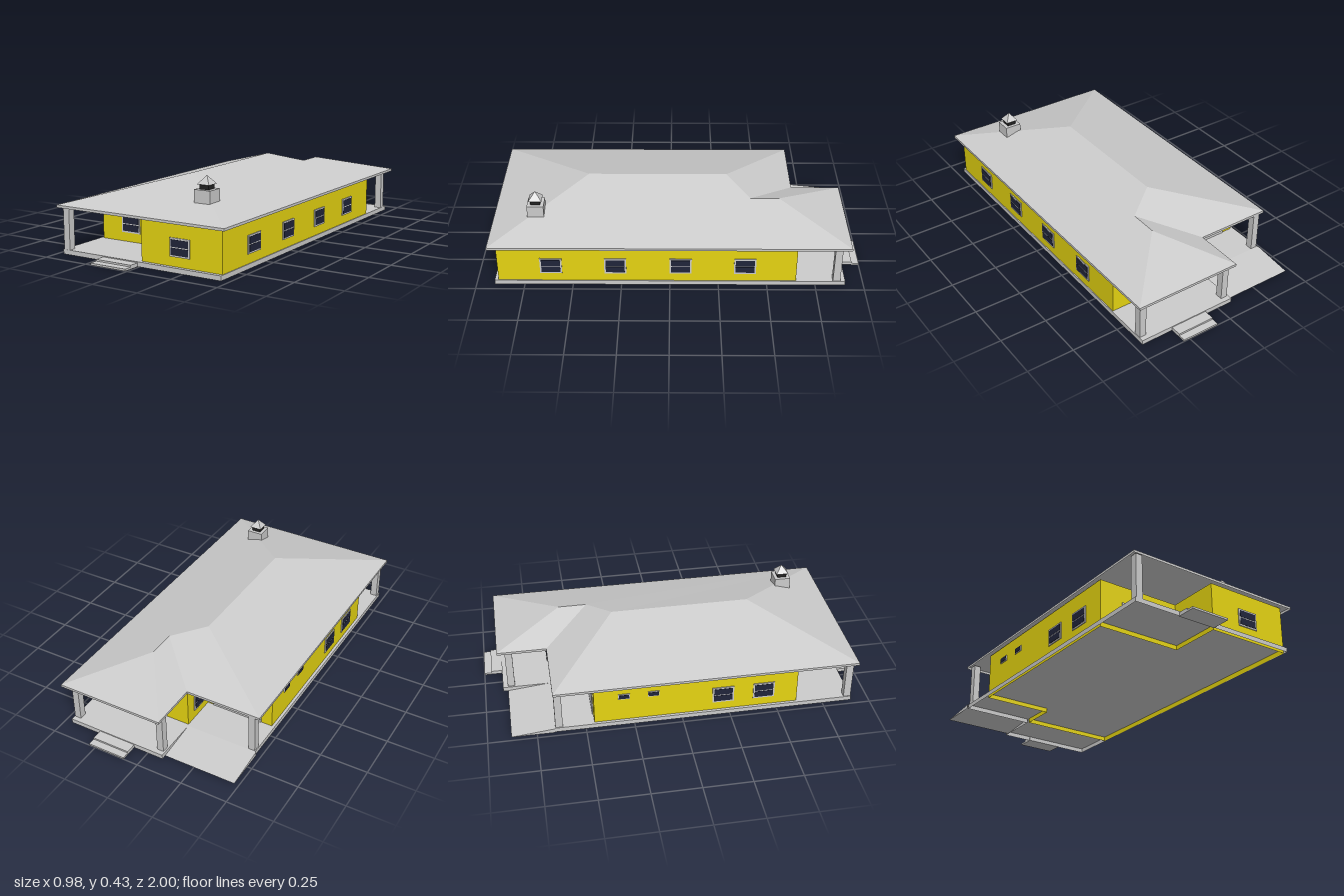
import * as THREE from 'three';

const material = (color, extra = {}) => new THREE.MeshStandardMaterial({ color, flatShading: true, ...extra });
const grey = material(0xcccccc);
const greyThin = material(0xcccccc, { side: THREE.DoubleSide });
const yellowThin = material(0xe5d411, { side: THREE.DoubleSide });
const glass = material(0x20243a);
const black = material(0x222222);

function add(parent, name, geometry, mat, x = 0, y = 0, z = 0) {
  const mesh = new THREE.Mesh(geometry, mat);
  mesh.name = name;
  mesh.position.set(x, y, z);
  parent.add(mesh);
  return mesh;
}

// Box given by its limits on each axis
function box(parent, name, mat, x0, x1, y0, y1, z0, z1) {
  const g = new THREE.BoxGeometry(x1 - x0, y1 - y0, z1 - z0);
  return add(parent, name, g, mat, (x0 + x1) / 2, (y0 + y1) / 2, (z0 + z1) / 2);
}

// Flat polygons, each a convex loop of [x, y, z] corners
function polygons(loops) {
  const p = [];
  for (const loop of loops) {
    for (let i = 1; i < loop.length - 1; i++) p.push(...loop[0], ...loop[i], ...loop[i + 1]);
  }
  const g = new THREE.BufferGeometry();
  g.setAttribute('position', new THREE.Float32BufferAttribute(p, 3));
  g.computeVertexNormals();
  return g;
}

// Upright strip following a closed [x, z] outline
function band(outline, y0, y1) {
  return polygons(outline.map(([x, z], i) => {
    const [u, w] = outline[(i + 1) % outline.length];
    return [[x, y0, z], [u, y0, w], [u, y1, w], [x, y1, z]];
  }));
}

// Level sheet filling an [x, z] outline
function plate(outline, y) {
  const shape = new THREE.Shape(outline.map(([x, z]) => new THREE.Vector2(x, -z)));
  return new THREE.ShapeGeometry(shape).rotateX(-Math.PI / 2).translate(0, y, 0);
}

// Group placed on a wall, its own +z pointing out of the wall
function onWall(parent, name, x, y, z, turn) {
  const g = new THREE.Group();
  g.name = name;
  g.position.set(x, y, z);
  g.rotation.y = turn;
  parent.add(g);
  return g;
}

// Framed panel with a grid of panes
function paned(parent, name, x, y, z, turn, w, h, cols = 1, rows = 2, rim = 0.008) {
  const g = onWall(parent, name, x, y, z, turn);
  box(g, 'frame', grey, -w / 2, w / 2, -h / 2, h / 2, -0.003, 0.005);
  const bar = 0.005;
  const pw = (w - 2 * rim - (cols - 1) * bar) / cols;
  const ph = (h - 2 * rim - (rows - 1) * bar) / rows;
  for (let i = 0; i < cols; i++) {
    for (let j = 0; j < rows; j++) {
      const px = -w / 2 + rim + i * (pw + bar), py = -h / 2 + rim + j * (ph + bar);
      box(g, 'pane', glass, px, px + pw, py, py + ph, 0, 0.0065);
    }
  }
  return g;
}

function door(parent, name, x, z, turn) {
  const g = onWall(parent, name, x, 0.025, z, turn);
  box(g, 'leaf', grey, -0.035, 0.035, 0, 0.14, -0.003, 0.005);
  for (const px of [-0.01, 0.01]) {
    for (const py of [0.085, 0.115]) {
      box(g, 'pane', glass, px - 0.0085, px + 0.0085, py - 0.0135, py + 0.0135, 0, 0.0065);
    }
  }
  box(g, 'handle', black, 0.014, 0.026, 0.056, 0.059, 0.004, 0.01);
}

export function createModel() {
  const house = new THREE.Group();
  house.name = 'house';
  const BACK = Math.PI, LEFT = Math.PI / 2, RIGHT = -Math.PI / 2;

  // Floor slab with rim, carport ramp and steps
  const slab = [[-0.47, 0.905], [0.46, 0.905], [0.46, -0.905], [-0.085, -0.905], [-0.085, -0.66], [-0.47, -0.66]];
  add(house, 'floor', plate(slab, 0.024), greyThin);
  add(house, 'floorRim', band(slab, 0, 0.024), greyThin);
  add(house, 'ramp', polygons([
    [[-0.475, 0.024, -0.66], [-0.085, 0.024, -0.66], [-0.085, 0.001, -0.88], [-0.475, 0.001, -0.88]],
    [[-0.475, 0, -0.66], [-0.475, 0.024, -0.66], [-0.475, 0.001, -0.88]],
  ]), greyThin);
  box(house, 'frontUpperStep', grey, -0.22, -0.01, 0.01, 0.019, 0.9, 0.958);
  box(house, 'frontLowerStep', grey, -0.22, -0.01, 0, 0.01, 0.9, 1);
  box(house, 'backUpperStep', grey, 0.08, 0.285, 0.01, 0.019, -0.962, -0.9);
  box(house, 'backLowerStep', grey, 0.08, 0.285, 0, 0.01, -1, -0.9);

  // Walls, with a porch notch at the front and a carport notch at the back
  const walls = [[0, 0.885], [0.455, 0.885], [0.455, -0.65], [-0.08, -0.65],
    [-0.08, -0.455], [-0.455, -0.455], [-0.455, 0.61], [0, 0.61]];
  add(house, 'walls', band(walls, 0, 0.25), yellowThin);

  // Porch and carport columns
  for (const [x, z] of [[-0.447, 0.885], [0.44, -0.86], [-0.058, -0.86], [-0.447, -0.637]]) {
    box(house, 'column', grey, x - 0.018, x + 0.018, 0.024, 0.25, z - 0.019, z + 0.019);
  }

  // Windows
  const wy = 0.117, ww = 0.113, wh = 0.091;
  paned(house, 'frontWindow', 0.222, wy, 0.885, 0, ww, wh);
  paned(house, 'porchWindow', -0.273, wy, 0.61, 0, ww, wh);
  for (const z of [0.61, 0.28, -0.055, -0.385]) paned(house, 'leftWindow', 0.455, wy, z, LEFT, ww, wh);
  for (const z of [0.215, 0.43]) paned(house, 'rightWindow', -0.455, wy, z, RIGHT, ww, wh);
  for (const z of [-0.3, -0.148]) paned(house, 'smallWindow', -0.455, 0.17, z, RIGHT, 0.06, 0.03, 1, 1, 0.004);
  paned(house, 'carportWindow', -0.08, wy, -0.535, RIGHT, ww, wh);

  // Doors
  door(house, 'frontDoor', -0.065, 0.61, 0);
  door(house, 'backDoor', 0.3, -0.65, BACK);
  paned(house, 'patioDoor', 0.185, 0.096, -0.65, BACK, 0.14, 0.142, 2, 1);
  const garage = onWall(house, 'garageDoor', -0.255, 0.025, -0.455, BACK);
  for (let i = 0; i < 4; i++) box(garage, 'panel', grey, -0.14, 0.14, i * 0.044, i * 0.044 + 0.042, -0.003, 0.005);

  // Hipped roof over an L-shaped outline, open underneath
  const e = 0.25, r = 0.387, w = 0.342;
  const fl = [-0.49, e, 0.925], fr = [0.49, e, 0.925], bl = [-0.49, e, -0.66], inner = [-0.085, e, -0.66];
  const wl = [-0.085, e, -0.92], wr = [0.49, e, -0.92];
  const ridgeF = [0, r, 0.435], ridgeB = [0, r, -0.3], wingF = [0.165, w, -0.42], wingB = [0.165, w, -0.57];
  add(house, 'roof', polygons([
    [fl, fr, ridgeF],
    [fl, ridgeF, ridgeB, bl],
    [bl, ridgeB, wingF, inner],
    [inner, wingF, wingB, wl],
    [wl, wingB, wr],
    [fr, wr, wingB, wingF, ridgeB, ridgeF],
  ]), greyThin);
  const eaves = [fl, fr, wr, wl, inner, bl].map(([x, , z]) => [x, z]);
  add(house, 'fascia', band(eaves, 0.237, e), greyThin);

  // Chimney with dark flue and pyramid cap
  const cx = 0.246, cz = 0.693;
  box(house, 'chimney', grey, cx - 0.045, cx + 0.045, 0.29, 0.367, cz - 0.043, cz + 0.043);
  box(house, 'flue', black, cx - 0.025, cx + 0.025, 0.367, 0.392, cz - 0.025, cz + 0.025);
  const cap = new THREE.ConeGeometry(0.034 * Math.SQRT2, 0.042, 4).rotateY(Math.PI / 4);
  add(house, 'chimneyCap', cap, grey, cx, 0.412, cz);

  return house;
}
